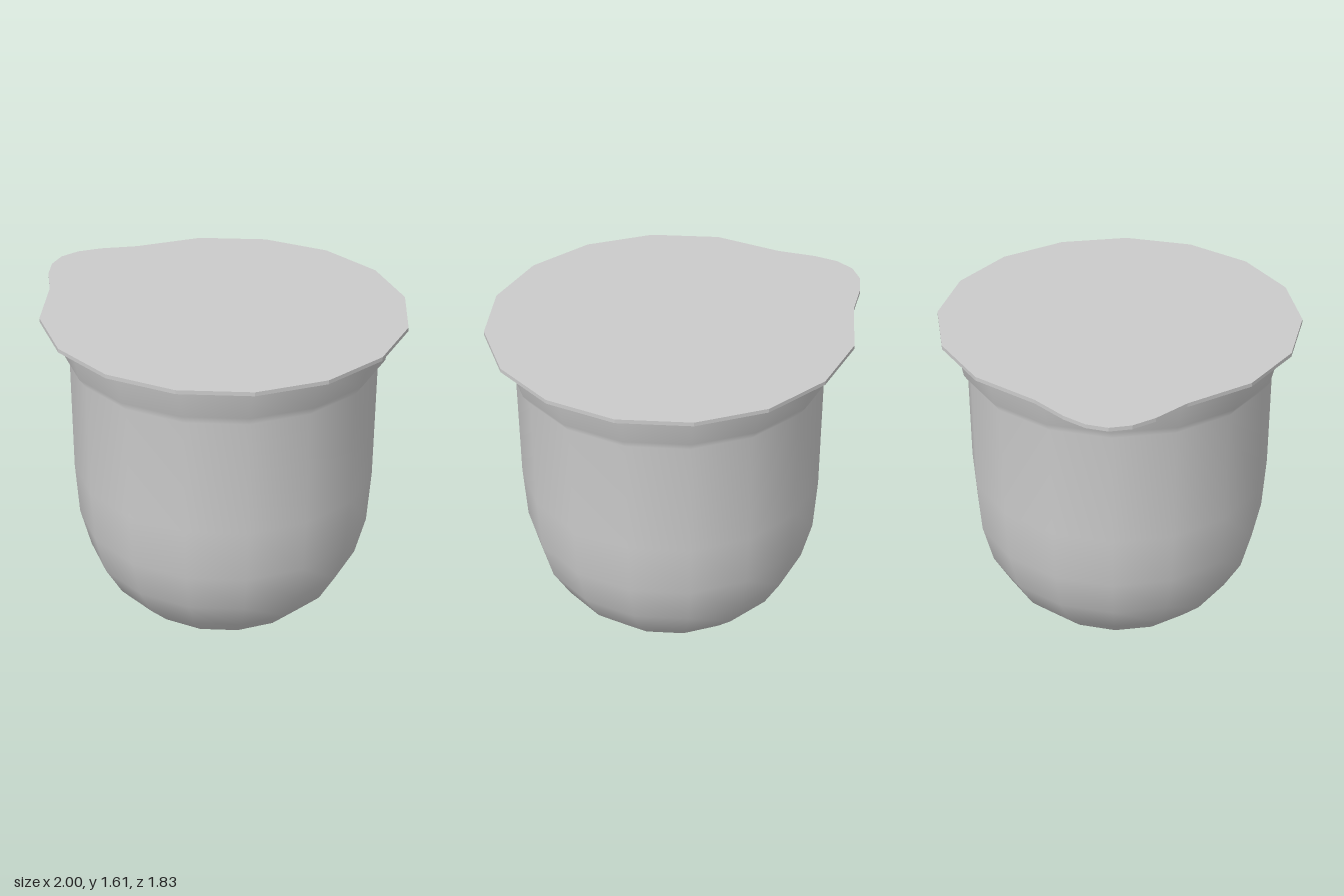
import * as THREE from 'three';

const SIDES = 16;
const CENTRE_X = 0.08; // the cup sits off-centre because of the lid's pull tab

export function createModel() {
  const group = new THREE.Group();
  const material = new THREE.MeshStandardMaterial({ color: 0xcccccc });
  const wallMaterial = new THREE.MeshStandardMaterial({ color: 0xcccccc, side: THREE.DoubleSide });

  const add = (name, geometry, mat, x, y) => {
    const mesh = new THREE.Mesh(geometry, mat);
    mesh.name = name;
    mesh.position.set(x, y, 0);
    group.add(mesh);
  };

  // Cup wall: rounded lower body, straight side, flared rim
  const profile = [
    [0.5, 0], [0.62, 0.12], [0.71, 0.28], [0.763, 0.49], [0.78, 0.77],
    [0.78, 1.37], [0.815, 1.42], [0.845, 1.59],
  ].map(([r, y]) => new THREE.Vector2(r, y));
  add('cupWall', new THREE.LatheGeometry(profile, SIDES), wallMaterial, CENTRE_X, 0);

  // Flat base
  add('cupBase', new THREE.CircleGeometry(0.5, SIDES).rotateX(Math.PI / 2), wallMaterial, CENTRE_X, 0);

  // Thin lid: a round outline whose -x corner is drawn out into a pull tab
  const outline = [];
  for (let i = -7; i <= 7; i++) {
    const a = (i / SIDES) * Math.PI * 2;
    outline.push(new THREE.Vector2(CENTRE_X + 0.92 * Math.cos(a), 0.916 * Math.sin(a)));
  }
  for (const [x, z] of [[-0.905, 0.21], [-0.975, 0.105], [-1, 0], [-0.975, -0.105], [-0.905, -0.21]]) {
    outline.push(new THREE.Vector2(x, z));
  }
  const lid = new THREE.ExtrudeGeometry(new THREE.Shape(outline), { depth: 0.02, bevelEnabled: false });
  add('lid', lid.rotateX(-Math.PI / 2), material, 0, 1.59);

  return group;
}
